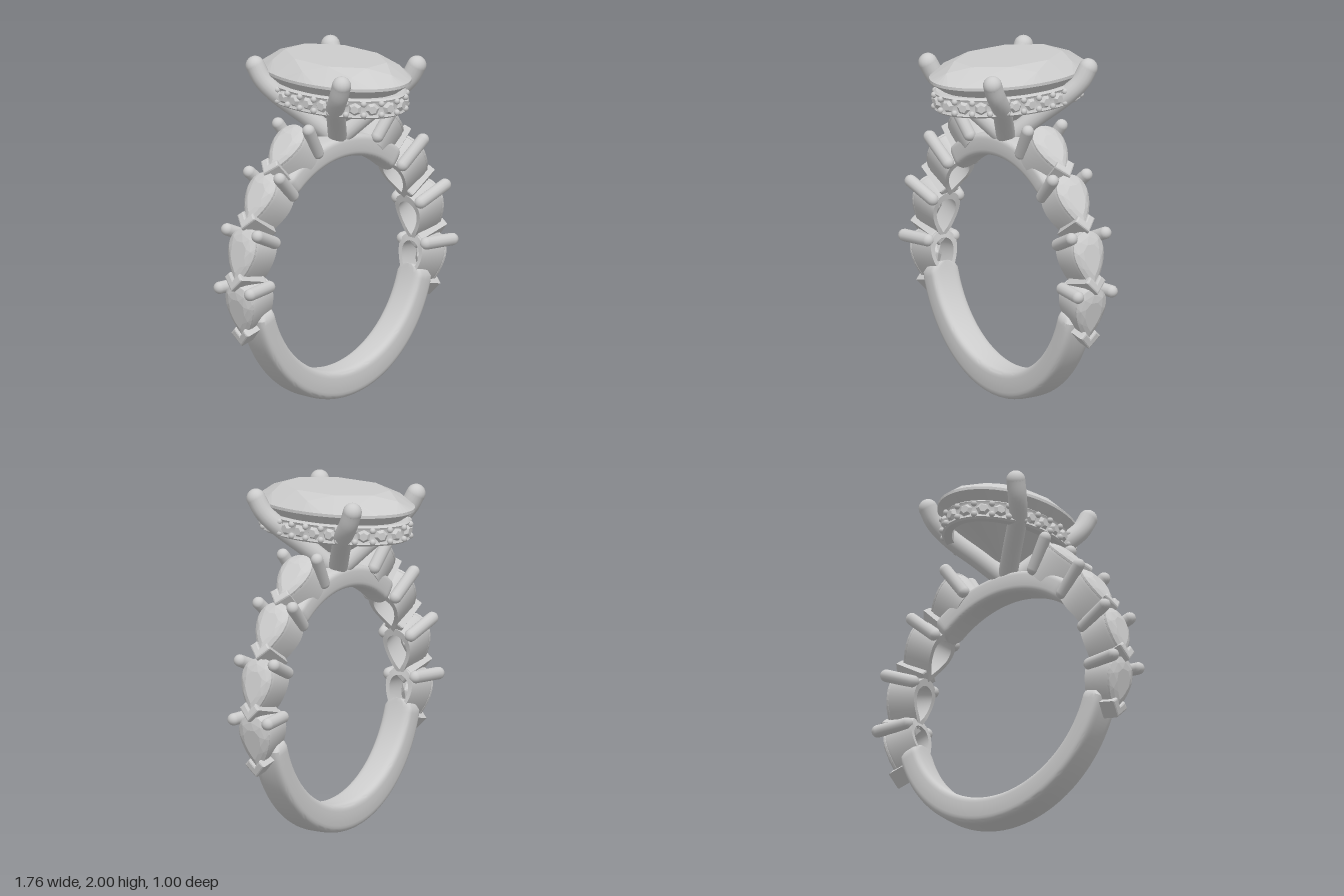
import * as THREE from 'three';
import { toCreasedNormals } from 'three/addons/utils/BufferGeometryUtils.js';
import { ConvexGeometry } from 'three/addons/geometries/ConvexGeometry.js';

const metal = new THREE.MeshStandardMaterial({ color: 0xcccccc });
const gemMat = new THREE.MeshStandardMaterial({ color: 0xcccccc, flatShading: true });
const V = (x, y, z) => new THREE.Vector3(x, y, z);
const CY = 0.79, INNER = 0.62; // finger hole centre height and radius
const TAU = Math.PI * 2;

function add(parent, name, geometry, material = metal) {
  const mesh = new THREE.Mesh(geometry, material);
  mesh.name = name;
  parent.add(mesh);
  return mesh;
}

// Skin over closed loops of points; wrap joins the last loop to the first, else ends are capped
function loft(rings, wrap, crease = 0.6) {
  const n = rings[0].length, m = rings.length, tris = [];
  for (let i = 0; i < (wrap ? m : m - 1); i++) {
    const A = rings[i], B = rings[(i + 1) % m];
    for (let j = 0; j < n; j++) {
      const k = (j + 1) % n;
      tris.push([A[j], A[k], B[j]], [A[k], B[k], B[j]]);
    }
  }
  if (!wrap) for (let j = 1; j < n - 1; j++) {
    const A = rings[0], B = rings[m - 1];
    tris.push([A[0], A[j + 1], A[j]], [B[0], B[j], B[j + 1]]);
  }
  // Signed volume decides which way the faces turn
  let volume = 0;
  for (const [a, b, c] of tris) volume += a.dot(V().crossVectors(b, c));
  const points = tris.flatMap(([a, b, c]) => (volume > 0 ? [a, b, c] : [a, c, b]));
  return toCreasedNormals(new THREE.BufferGeometry().setFromPoints(points), crease);
}

// Arc of band with a rounded-box section and domed ends
function bandArc(from, to, outer, halfWidth) {
  const rings = [], N = 72;
  for (let i = 0; i <= N; i++) {
    const f = i / N, a = from + (to - from) * f;
    const end = Math.min(f, 1 - f) * (to - from) / 0.09;
    const s = end < 1 ? Math.max(0.3, Math.sqrt(1 - (1 - end) ** 2)) : 1;
    const half = (outer(a) - INNER) / 2, ring = [];
    for (let j = 0; j < 32; j++) {
      const t = (j / 32) * TAU, c = Math.cos(t), d = Math.sin(t);
      const r = INNER + half * s + half * s * Math.sign(c) * Math.abs(c) ** 0.45;
      ring.push(V(r * Math.cos(a), CY + r * Math.sin(a), halfWidth * s * Math.sign(d) * Math.abs(d) ** 0.45));
    }
    rings.push(ring);
  }
  return loft(rings, false);
}

// Teardrop outline in the local y-z plane, point towards -y
const pear = (t, s, x) => V(x, -0.17 * Math.cos(t) * s, 0.136 * Math.sin(t) * Math.sin(t / 2) * s);
const oval = (t, s, y) => V(0.33 * s * Math.cos(t), y, 0.5 * s * Math.sin(t));
const loop = (n, fn, shift = 0) => Array.from({ length: n }, (_, i) => fn(((i + shift) / n) * TAU));

// Rounded rod between two points
function rod(parent, name, a, b, radius) {
  const mesh = add(parent, name, new THREE.CapsuleGeometry(radius, a.distanceTo(b), 6, 14));
  mesh.position.copy(a).add(b).multiplyScalar(0.5);
  mesh.quaternion.setFromUnitVectors(V(0, 1, 0), b.clone().sub(a).normalize());
}

const pearGem = new ConvexGeometry([
  ...loop(10, t => pear(t, 0.55, 0.026), 0.5),
  ...loop(10, t => pear(t, 0.8, 0.016)),
  ...loop(32, t => pear(t, 0.98, 0)),
  ...loop(32, t => pear(t, 0.98, -0.012)),
  ...loop(10, t => pear(t, 0.55, -0.08), 0.5),
  V(-0.13, 0.02, 0),
]);

// V-shaped claw round the point of a pear stone
function chevron(depth) {
  const s = new THREE.Shape([[0, -0.185], [0.055, -0.125], [0.035, -0.105], [0, -0.145], [-0.035, -0.105], [-0.055, -0.125]]
    .map(([x, y]) => new THREE.Vector2(x, y)));
  return new THREE.ExtrudeGeometry(s, { depth, bevelSize: 0.01, bevelThickness: 0.012, bevelSegments: 2 })
    .rotateY(Math.PI / 2).translate(0.025 - depth, 0, 0);
}

// Pear stone with its cup and claws; local x points away from the finger
function pearSetting(x, y, angle, clawDepth) {
  const g = new THREE.Group();
  g.name = 'pearSetting';
  g.position.set(x, y, 0);
  g.rotation.z = angle;
  add(g, 'pearStone', pearGem, gemMat);

  // Cup foot follows the finger hole
  const c = V(-x, CY - y, 0).applyAxisAngle(V(0, 0, 1), -angle);
  const foot = (t, s) => {
    const p = pear(t, s, 0);
    p.x = Math.max(-0.2, c.x + Math.sqrt(0.625 ** 2 - (p.y - c.y) ** 2));
    return p;
  };
  add(g, 'pearCup', loft([
    loop(48, t => pear(t, 0.96, -0.012)),
    loop(48, t => pear(t, 1, -0.03)),
    loop(48, t => foot(t, 0.87)),
    loop(48, t => foot(t, 0.62)),
    loop(48, t => pear(t, 0.8, -0.012)),
  ], true));
  for (const s of [-1, 1]) rod(g, 'pearClaw', V(-0.17, 0.105, s * 0.09), V(0.015, 0.14, s * 0.118), 0.036);
  add(g, 'pearPointClaw', chevron(clawDepth));
  return g;
}

// Large oval stone, hidden band of small stones, and four claws
function createHead() {
  const g = new THREE.Group();
  g.name = 'head';
  add(g, 'ovalStone', new ConvexGeometry([
    ...loop(8, t => oval(t, 0.68, 2.0), 0.5),
    ...loop(8, t => oval(t, 0.86, 1.964)),
    ...loop(48, t => oval(t, 1, 1.912)),
    ...loop(48, t => oval(t, 1, 1.895)),
    ...loop(16, t => oval(t, 0.72, 1.8), 0.5),
    V(0, 1.61, 0.05), V(0, 1.61, -0.05),
  ]), gemMat);

  // Halo band under the stone
  const A = 0.295, B = 0.465;
  const profile = [[-0.05, 1.73], [-0.005, 1.727], [0.008, 1.737], [0, 1.75], [0, 1.82],
    [0.008, 1.833], [-0.005, 1.843], [-0.05, 1.84]];
  add(g, 'halo', loft(profile.map(([o, y]) =>
    loop(72, t => V((A + o) * Math.cos(t), y, (B + o) * Math.sin(t)))), true));

  // Small stones and beads evenly spaced round the halo
  const count = 24;
  const stone = new THREE.CylinderGeometry(0.024, 0.045, 0.026, 6);
  const bead = new THREE.SphereGeometry(0.018, 10, 8);
  const spots = new THREE.EllipseCurve(0, 0, A, B).getSpacedPoints(count * 2);
  for (let i = 0; i < count * 2; i++) {
    const p = spots[i], normal = V(p.x / A ** 2, 0, p.y / B ** 2).normalize();
    if (i % 2) {
      const m = add(g, 'haloStone', stone, gemMat);
      m.position.set(p.x, 1.785, p.y).addScaledVector(normal, 0.005);
      m.quaternion.setFromUnitVectors(V(0, 1, 0), normal);
    } else for (const dy of [-0.033, 0.033]) {
      add(g, 'haloBead', bead).position.set(p.x, 1.785 + dy, p.y).addScaledVector(normal, 0.008);
    }
  }

  // Curved claws
  for (const sx of [-1, 1]) for (const sz of [-1, 1]) {
    const path = new THREE.CatmullRomCurve3(
      [[0.02, 1.54, 0.03], [0.12, 1.65, 0.115], [0.245, 1.78, 0.225], [0.295, 1.865, 0.295], [0.315, 1.945, 0.335]]
        .map(([x, y, z]) => V(sx * x, y, sz * z)));
    add(g, 'mainClaw', new THREE.TubeGeometry(path, 32, 0.055, 16));
    for (const t of [0, 1]) add(g, 'mainClawEnd', new THREE.SphereGeometry(0.055, 16, 12)).position.copy(path.getPoint(t));
  }
  return g;
}

export function createModel() {
  const ring = new THREE.Group();
  ring.name = 'ring';
  const rad = THREE.MathUtils.degToRad;

  // Lower shank thickens towards the bottom; upper bridge carries the head
  add(ring, 'shank', bandArc(rad(-168), rad(-12), a => 0.745 + 0.045 * Math.sin(-a) ** 2, 0.095));
  add(ring, 'bridge', bandArc(rad(48), rad(132), () => 0.75, 0.085));

  // Four pear stones down each shoulder
  for (const turn of [0, Math.PI]) {
    const shoulder = new THREE.Group();
    shoulder.name = turn ? 'rightShoulder' : 'leftShoulder';
    shoulder.rotation.y = turn;
    shoulder.add(
      pearSetting(0.80, 0.645, rad(-12.5), 0.09),
      pearSetting(0.80, 0.97, rad(13), 0.2),
      pearSetting(0.66, 1.285, rad(32), 0.2),
      pearSetting(0.445, 1.54, rad(45), 0.2));
    ring.add(shoulder);
  }
  ring.add(createHead());
  return ring;
}
